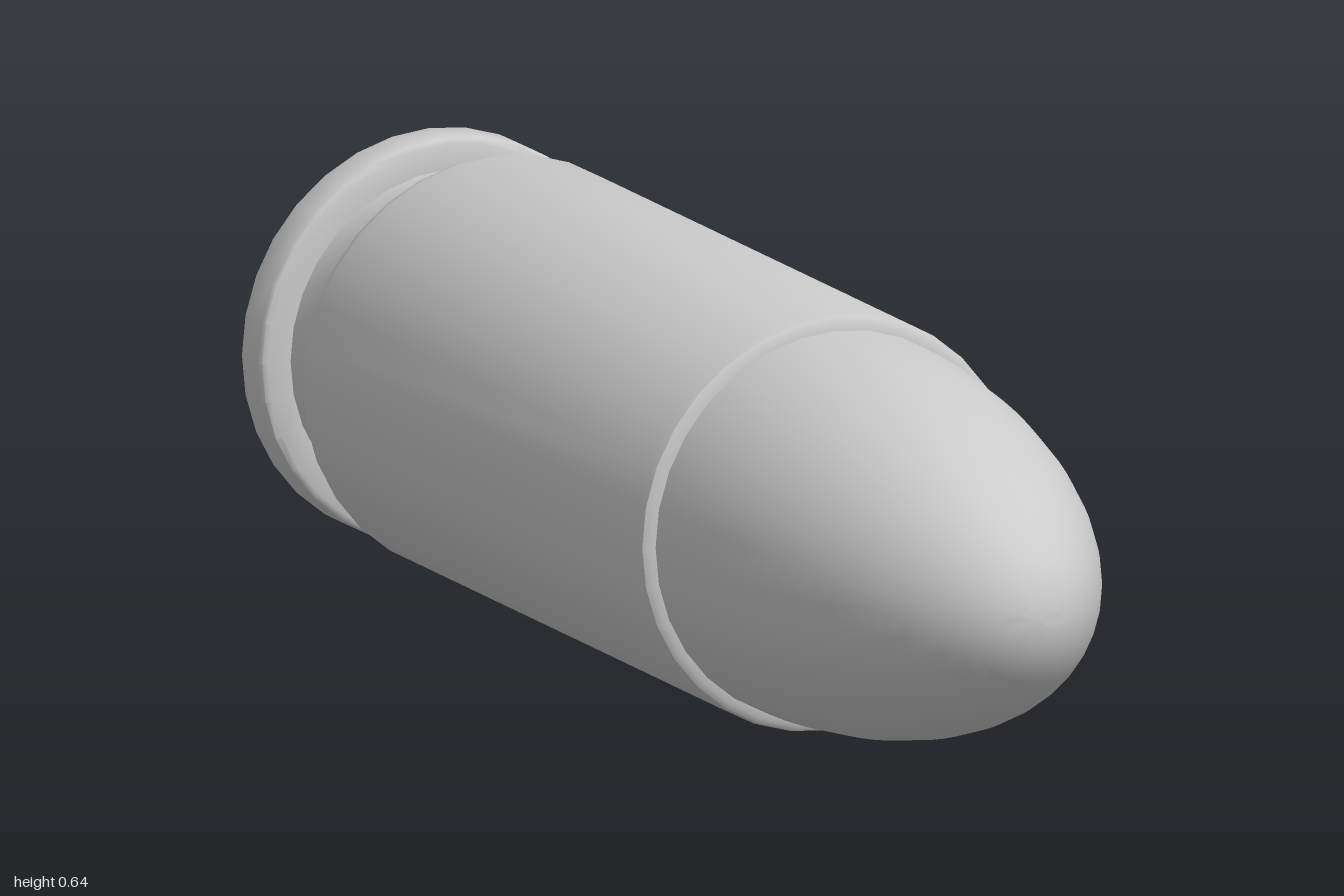
import * as THREE from 'three';
import { toCreasedNormals } from 'three/addons/utils/BufferGeometryUtils.js';

const SIDES = 32;
const AXIS_HEIGHT = 0.322;

export function createModel() {
  const group = new THREE.Group();
  const material = new THREE.MeshStandardMaterial({ color: 0xcccccc });

  // Turns a [radius, z] profile, listed from back to front, around the long axis
  const addTurned = (name, profile) => {
    const points = profile.map(([r, z]) => new THREE.Vector2(r, z));
    const lathe = new THREE.LatheGeometry(points, SIDES).rotateX(Math.PI / 2);
    const mesh = new THREE.Mesh(toCreasedNormals(lathe, 0.75), material);
    mesh.name = name;
    mesh.position.y = AXIS_HEIGHT;
    group.add(mesh);
  };

  // Case: primer pocket, rim, extractor groove, straight wall and rounded mouth
  addTurned('case', [
    [0, -0.955], [0.157, -0.955], [0.157, -0.985], [0.16, -0.995], [0.168, -1],
    [0.295, -1], [0.308, -0.996], [0.315, -0.984],
    [0.315, -0.932], [0.312, -0.924], [0.304, -0.92],
    [0.266, -0.92], [0.266, -0.845], [0.272, -0.834],
    [0.308, -0.793], [0.317, -0.782], [0.322, -0.765],
    [0.322, 0.315], [0.319, 0.328], [0.31, 0.334], [0.29, 0.334],
  ]);

  // Primer cap with a rounded edge, seated in the pocket
  addTurned('primer', [
    [0, -0.994], [0.118, -0.994], [0.134, -0.989], [0.145, -0.978], [0.148, -0.95],
  ]);

  // Bullet: short shank inside the mouth, then an elliptical nose
  const nose = [[0.3, 0.28]];
  const STEPS = 24;
  for (let i = 0; i <= STEPS; i++) {
    const a = (i / STEPS) * Math.PI / 2;
    nose.push([0.3 * Math.cos(a), 0.31 + 0.69 * Math.sin(a)]);
  }
  nose[nose.length - 1][0] = 0;
  addTurned('bullet', nose);

  return group;
}
